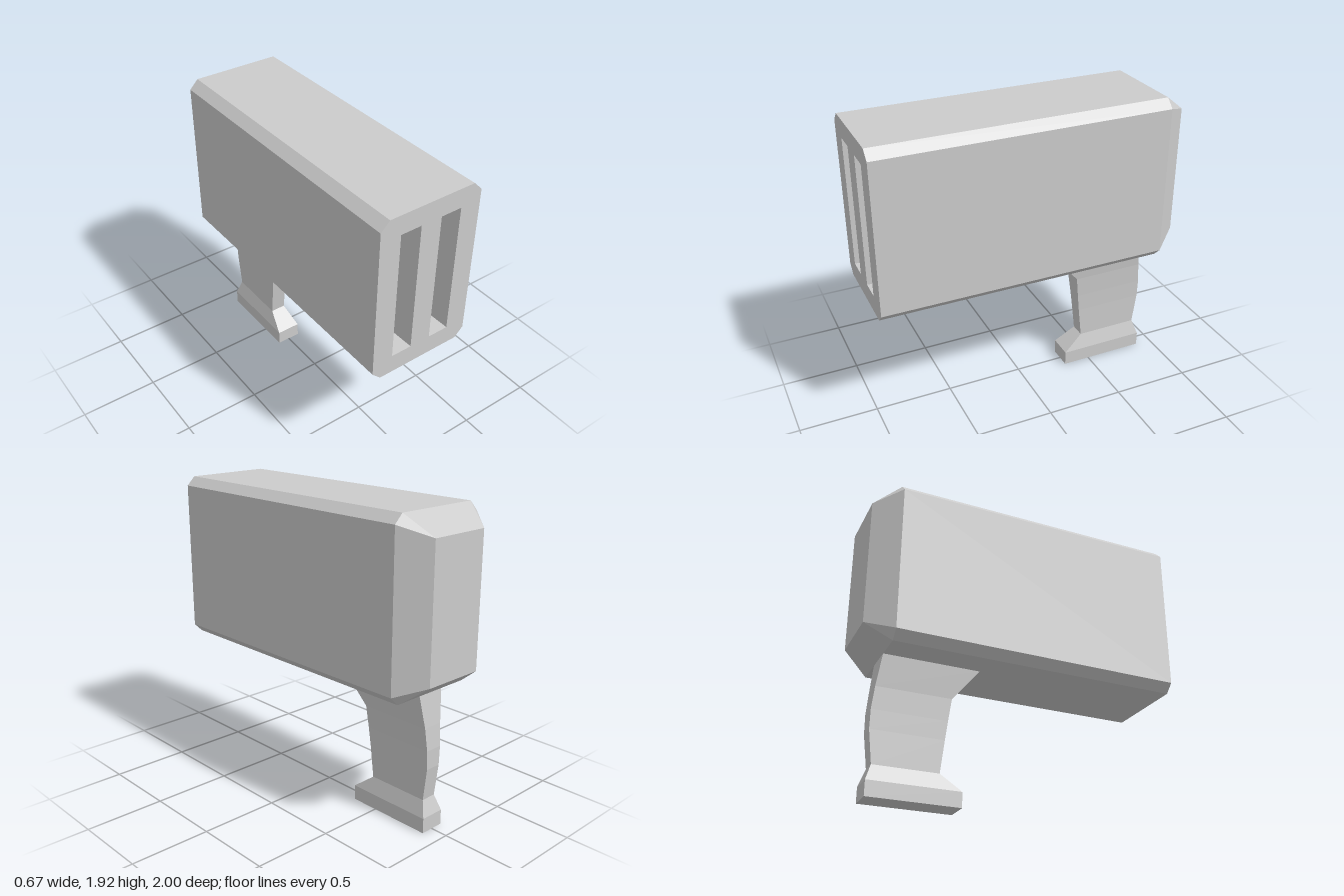
import * as THREE from 'three';

const material = new THREE.MeshStandardMaterial({ color: 0xcccccc, flatShading: true });

// Skin a series of rings, each anticlockwise as seen from the end they advance to.
function loft(rings, { startCap = true, endCap = true, inward = false } = {}) {
  const pos = [];
  const tri = (a, b, c) => {
    if (new THREE.Triangle(a, b, c).getArea() < 1e-9) return;
    for (const p of inward ? [a, c, b] : [a, b, c]) pos.push(p.x, p.y, p.z);
  };
  const n = rings[0].length;
  for (let k = 0; k + 1 < rings.length; k++) {
    for (let i = 0; i < n; i++) {
      const j = (i + 1) % n;
      const a = rings[k][i], b = rings[k][j], c = rings[k + 1][j], d = rings[k + 1][i];
      tri(a, b, c);
      tri(a, c, d);
    }
  }
  const first = rings[0], last = rings[rings.length - 1];
  for (let i = 1; i + 1 < n; i++) {
    if (startCap) tri(first[0], first[i + 1], first[i]);
    if (endCap) tri(last[0], last[i], last[i + 1]);
  }
  const geometry = new THREE.BufferGeometry();
  geometry.setAttribute('position', new THREE.Float32BufferAttribute(pos, 3));
  geometry.computeVertexNormals();
  return geometry;
}

// Upright rectangle with chamfered corners, at depth z
function chamferRing(x0, x1, y0, y1, c, z) {
  return [
    [x1, y0 + c], [x1, y1 - c], [x1 - c, y1], [x0 + c, y1],
    [x0, y1 - c], [x0, y0 + c], [x0 + c, y0], [x1 - c, y0],
  ].map(([x, y]) => new THREE.Vector3(x, y, z));
}

// Level rectangle at height y
function levelRing(y, front, back, half) {
  return [[half, front], [half, back], [-half, back], [-half, front]]
    .map(([x, z]) => new THREE.Vector3(x, y, z));
}

export function createModel() {
  const group = new THREE.Group();
  const add = (name, geometry) => {
    const mesh = new THREE.Mesh(geometry, material);
    mesh.name = name;
    group.add(mesh);
  };

  // Housing: chamfered box tapering at the rear, front left open
  const frontRing = chamferRing(-0.333, 0.333, 0.86, 1.92, 0.055, 1);
  add('housing', loft([
    chamferRing(-0.2, 0.2, 0.98, 1.8, 0, -1),
    chamferRing(-0.333, 0.333, 0.86, 1.92, 0.055, -0.84),
    frontRing,
  ], { endCap: false }));

  // Front plate with two slots, each a tapering recess
  const plate = new THREE.Shape(frontRing.map((p) => new THREE.Vector2(p.x, p.y)));
  for (const side of [-1, 1]) {
    const cx = side * 0.1335;
    const mouth = chamferRing(cx - 0.0665, cx + 0.0665, 0.98, 1.8, 0, 1);
    const corners = [mouth[0], mouth[1], mouth[3], mouth[5]];
    plate.holes.push(new THREE.Path(corners.map((p) => new THREE.Vector2(p.x, p.y))));
    const floor = chamferRing(cx - 0.02, cx + 0.02, 1.008, 1.772, 0, 0.1);
    add(side > 0 ? 'leftSlot' : 'rightSlot', loft([floor, mouth], { endCap: false, inward: true }));
  }
  add('frontPlate', new THREE.ShapeGeometry(plate).translate(0, 0, 1));

  // Grip: height, front z, back z, half width
  const levels = [
    [0, -0.32, -0.89, 0.08],
    [0.095, -0.32, -0.89, 0.08],
    [0.195, -0.45, -0.855, 0.05],
    [0.4, -0.426, -0.88, 0.052],
    [0.52, -0.412, -0.88, 0.057],
    [0.66, -0.395, -0.866, 0.066],
    [0.86, -0.23, -0.84, 0.094],
  ];
  add('grip', loft(levels.map((l) => levelRing(...l))));

  return group;
}
